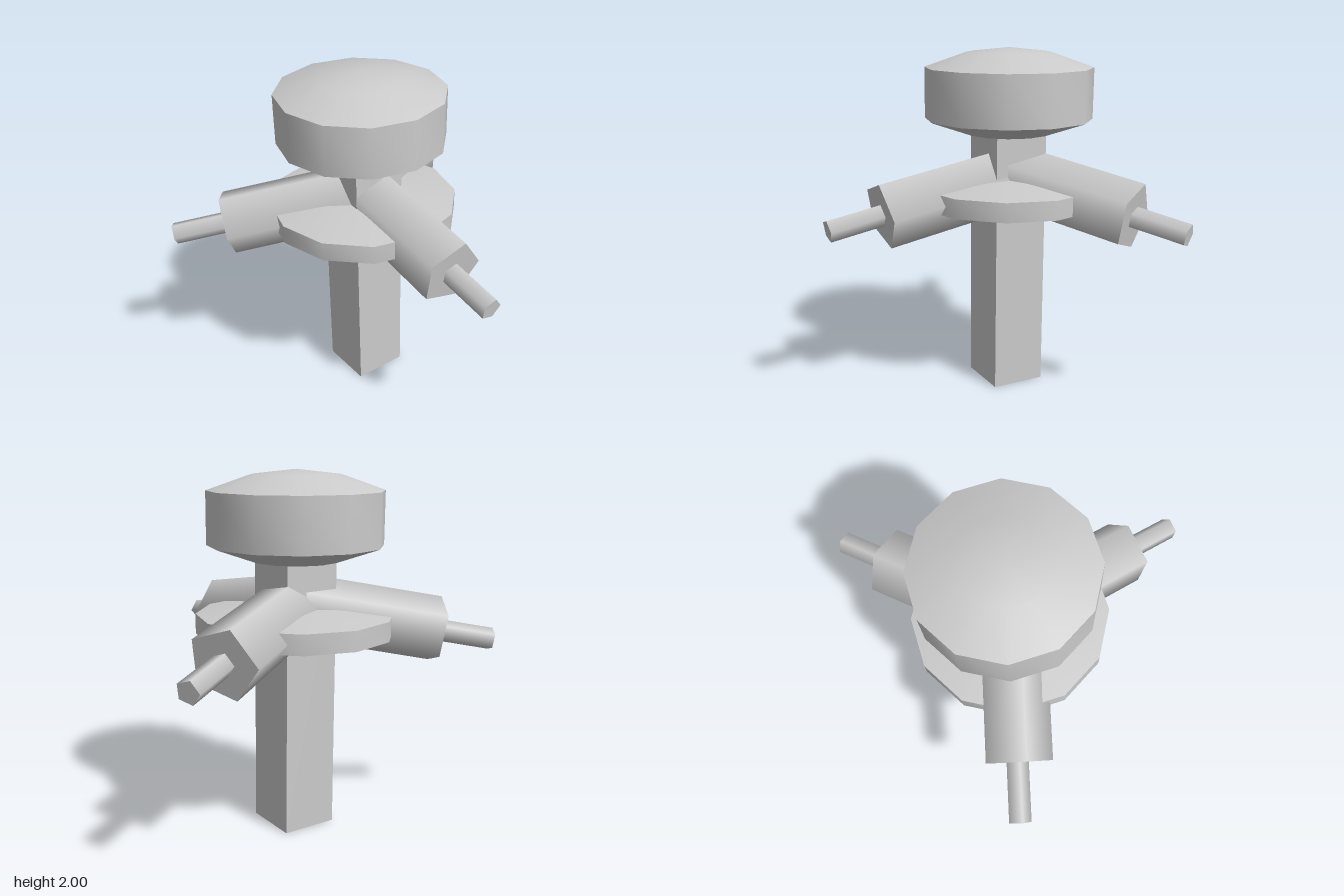
import * as THREE from 'three';
import { toCreasedNormals } from 'three/addons/utils/BufferGeometryUtils.js';

const AXIS_Z = -0.255; // the post stands slightly behind the centre

export function createModel() {
  const model = new THREE.Group();
  model.name = 'postWithArms';
  const material = new THREE.MeshStandardMaterial({ color: 0xcccccc });

  const add = (parent, name, geometry, y = 0) => {
    const mesh = new THREE.Mesh(geometry, material);
    mesh.name = name;
    mesh.position.y = y;
    parent.add(mesh);
    return mesh;
  };

  const body = new THREE.Group();
  body.name = 'body';
  body.position.z = AXIS_Z;
  model.add(body);

  // Twelve-sided drum with a shallow dome above and below
  const domedDrum = (radius, halfHeight, dome) => {
    const half = [[radius, 0], [radius / 2, 0.76], [0, 1]]
      .map(([r, t]) => [r, halfHeight + dome * t]);
    const profile = [
      ...half.map(([r, y]) => new THREE.Vector2(r, -y)).reverse(),
      ...half.map(([r, y]) => new THREE.Vector2(r, y)),
    ];
    return toCreasedNormals(new THREE.LatheGeometry(profile, 12), 0.8);
  };

  // Square post, its top sunk into the cap
  add(body, 'post', new THREE.BoxGeometry(0.32, 1.6, 0.32), 0.8);
  add(body, 'cap', domedDrum(0.485, 0.146, 0.112), 1.742);
  add(body, 'collarDisc', domedDrum(0.55, 0.055, 0.055), 1.165);

  // Five-sided bar running out along +z from the post's axis
  const bar = (radius, length) =>
    new THREE.CylinderGeometry(radius, radius, length, 5, 1, false, Math.PI / 2)
      .translate(0, length / 2, 0)
      .rotateX(Math.PI / 2);

  // Three drooping arms, each with a thin rod through its end
  ['frontArm', 'leftArm', 'rightArm'].forEach((name, i) => {
    const arm = new THREE.Group();
    arm.name = name;
    arm.position.y = 1.251;
    arm.rotation.set(THREE.MathUtils.degToRad(10), i * Math.PI * 2 / 3, 0, 'YXZ');
    add(arm, 'sleeve', bar(0.195, 0.812));
    add(arm, 'rod', bar(0.065, 1.127));
    body.add(arm);
  });

  return model;
}
